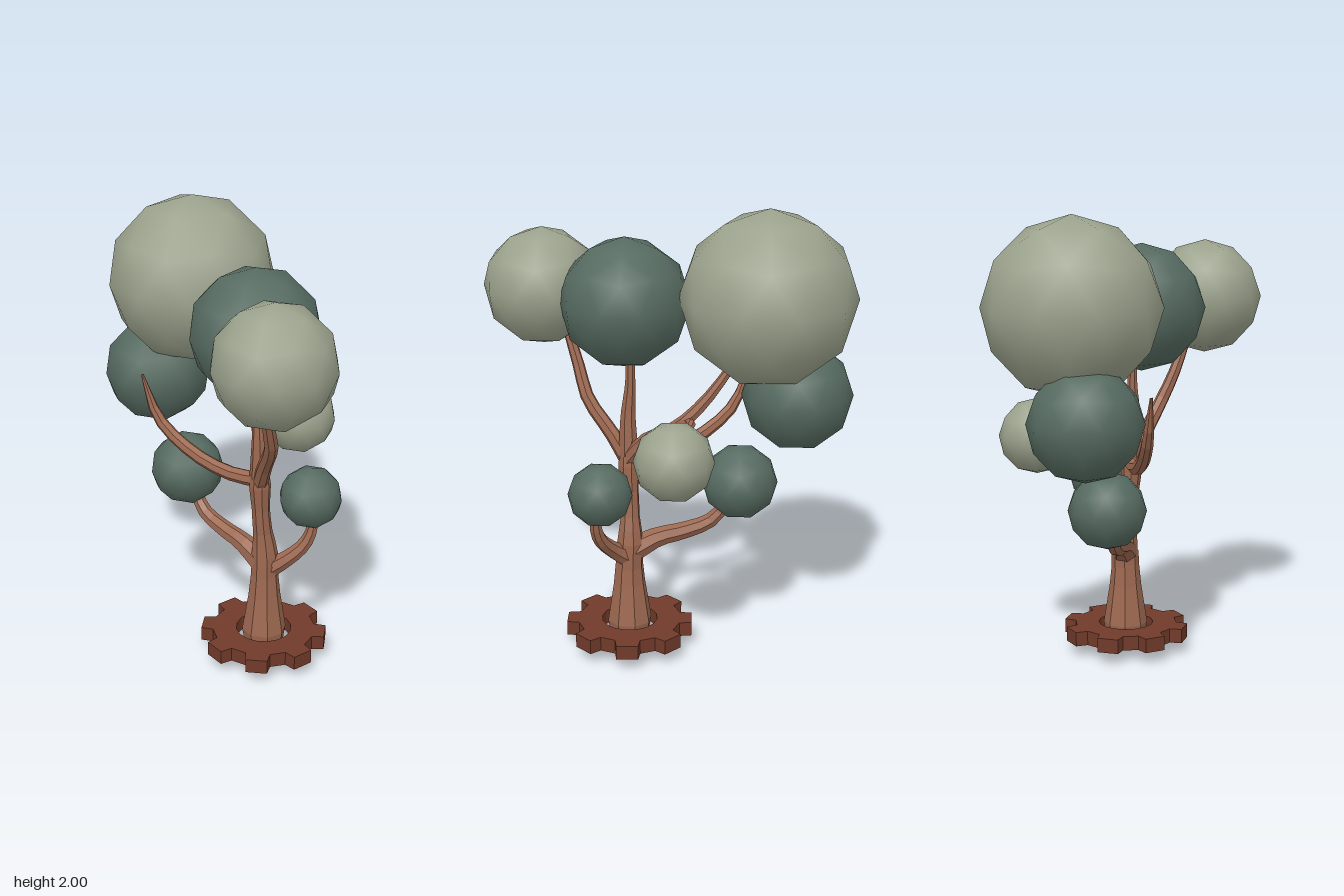
import * as THREE from 'three';

const material = (color, flatShading = false) =>
  new THREE.MeshStandardMaterial({ color, flatShading, roughness: 0.9 });

// Swept limb: a tube along a curve, its radius read from an evenly spaced list
function limb(name, points, radii, mat, sides = 7, steps = 10) {
  const curve = new THREE.CatmullRomCurve3(points.map((p) => new THREE.Vector3(...p)));
  const geo = new THREE.TubeGeometry(curve, steps, 1, sides, false);
  const pos = geo.attributes.position;
  const v = new THREE.Vector3();
  for (let i = 0; i <= steps; i++) {
    const centre = curve.getPointAt(i / steps);
    const f = (i / steps) * (radii.length - 1);
    const k = Math.min(Math.floor(f), radii.length - 2);
    const r = THREE.MathUtils.lerp(radii[k], radii[k + 1], f - k);
    for (let j = 0; j <= sides; j++) {
      const n = i * (sides + 1) + j;
      v.fromBufferAttribute(pos, n).sub(centre).multiplyScalar(r).add(centre);
      pos.setXYZ(n, v.x, v.y, v.z);
    }
  }
  geo.computeVertexNormals();
  const mesh = new THREE.Mesh(geo, mat);
  mesh.name = name;
  return mesh;
}

// Flat gear ring with eight teeth and a round hole
function gearBase(mat) {
  const teeth = 8, root = 0.232, tip = 0.284;
  const shape = new THREE.Shape();
  for (let i = 0; i < teeth; i++) {
    const a = THREE.MathUtils.degToRad(16) + (i * Math.PI * 2) / teeth;
    for (const [da, r] of [[-0.24, root], [-0.17, tip], [0.17, tip], [0.24, root]]) {
      const x = r * Math.cos(a + da), y = r * Math.sin(a + da);
      if (i === 0 && da === -0.24) shape.moveTo(x, y);
      else shape.lineTo(x, y);
    }
  }
  shape.closePath();
  shape.holes.push(new THREE.Path().absarc(0, 0, 0.125, 0, Math.PI * 2, true));
  const geo = new THREE.ExtrudeGeometry(shape, { depth: 0.065, bevelEnabled: false, curveSegments: 8 });
  geo.rotateX(Math.PI / 2);
  const mesh = new THREE.Mesh(geo, mat);
  mesh.position.set(0.01, 0.12, 0.21);
  mesh.name = 'gearBase';
  return mesh;
}

export function createModel() {
  const tree = new THREE.Group();
  tree.name = 'tree';
  const bark = material(0x9c6850, true);
  const light = material(0x9ca38d);
  const dark = material(0x566b61);

  tree.add(gearBase(material(0x703a2a, true)));

  // Trunk: pointed foot below the gear, flared base, slim top
  const foot = new THREE.Mesh(
    new THREE.LatheGeometry([[0, 0], [0.088, 0.04], [0.1, 0.12], [0.072, 0.3], [0.062, 0.4], [0.06, 0.46]]
      .map((p) => new THREE.Vector2(...p)), 8), bark);
  foot.position.set(0.012, 0, 0.21);
  foot.name = 'trunkBase';
  tree.add(foot);
  tree.add(limb('trunk',
    [[0.014, 0.38, 0.21], [0.016, 0.52, 0.205], [-0.005, 0.7, 0.2], [-0.018, 0.88, 0.2], [-0.018, 0.97, 0.197]],
    [0.062, 0.06, 0.043, 0.04, 0.048, 0.036], bark, 8));

  // Branches
  const branches = [
    ['frontUpperBranch', [[-0.02, 0.86, 0.2], [-0.07, 0.98, 0.26], [-0.15, 1.13, 0.35], [-0.21, 1.26, 0.375], [-0.28, 1.46, 0.42]],
      [0.036, 0.033, 0.03, 0.026, 0.02]],
    ['middleUpperBranch', [[-0.02, 0.9, 0.2], [-0.025, 1.08, 0.2], [-0.02, 1.22, 0.19], [-0.02, 1.4, 0.19]],
      [0.045, 0.034, 0.022, 0.018]],
    ['backUpperBranch', [[-0.01, 0.88, 0.2], [0.07, 0.99, 0.14], [0.18, 1.08, 0.03], [0.22, 1.2, -0.08], [0.25, 1.4, -0.22]],
      [0.038, 0.033, 0.03, 0.023, 0.017]],
    ['backLongBranch', [[-0.01, 0.88, 0.21], [-0.035, 0.875, 0.06], [-0.065, 0.93, -0.12], [-0.09, 1.06, -0.3], [-0.105, 1.26, -0.38]],
      [0.036, 0.032, 0.03, 0.026, 0.006]],
    ['leftTwig', [[0.17, 1.08, 0.04], [0.23, 1.11, -0.01], [0.29, 1.1, 0.02], [0.36, 1.06, 0.08]],
      [0.025, 0.021, 0.018, 0.012]],
    ['backLowerBranch', [[0.015, 0.46, 0.19], [0.025, 0.51, 0.08], [0.04, 0.535, -0.04], [0.055, 0.58, -0.16], [0.075, 0.7, -0.25]],
      [0.058, 0.043, 0.038, 0.032, 0.022]],
    ['frontLowerBranch', [[0.015, 0.42, 0.21], [0.05, 0.48, 0.29], [0.1, 0.56, 0.36], [0.125, 0.64, 0.385], [0.135, 0.74, 0.38]],
      [0.05, 0.038, 0.032, 0.026, 0.02]],
  ];
  for (const [name, points, radii] of branches) tree.add(limb(name, points, radii, bark));

  // Leaf balls: low-poly spheres with a corner straight up, shaded smooth
  const ball = new THREE.IcosahedronGeometry(1, 1);
  ball.rotateZ(Math.atan(2 / (1 + Math.sqrt(5))));
  ball.rotateY(Math.PI / 10);
  const leaves = [
    ['backTopLeaves', 0.22, 1.625, -0.35, 0.378, light],
    ['middleTopLeaves', -0.06, 1.575, 0.2, 0.284, dark],
    ['frontTopLeaves', -0.35, 1.6, 0.5, 0.26, light],
    ['backMiddleLeaves', 0.16, 1.17, -0.51, 0.243, dark],
    ['leftLeaves', 0.405, 1.01, 0.11, 0.17, light],
    ['frontLowerLeaves', 0.135, 0.785, 0.365, 0.14, dark],
    ['backLowerLeaves', 0.08, 0.76, -0.28, 0.168, dark],
  ];
  for (const [name, x, y, z, r, mat] of leaves) {
    const mesh = new THREE.Mesh(ball, mat);
    mesh.name = name;
    mesh.position.set(x, y, z);
    mesh.scale.setScalar(r);
    tree.add(mesh);
  }
  return tree;
}
